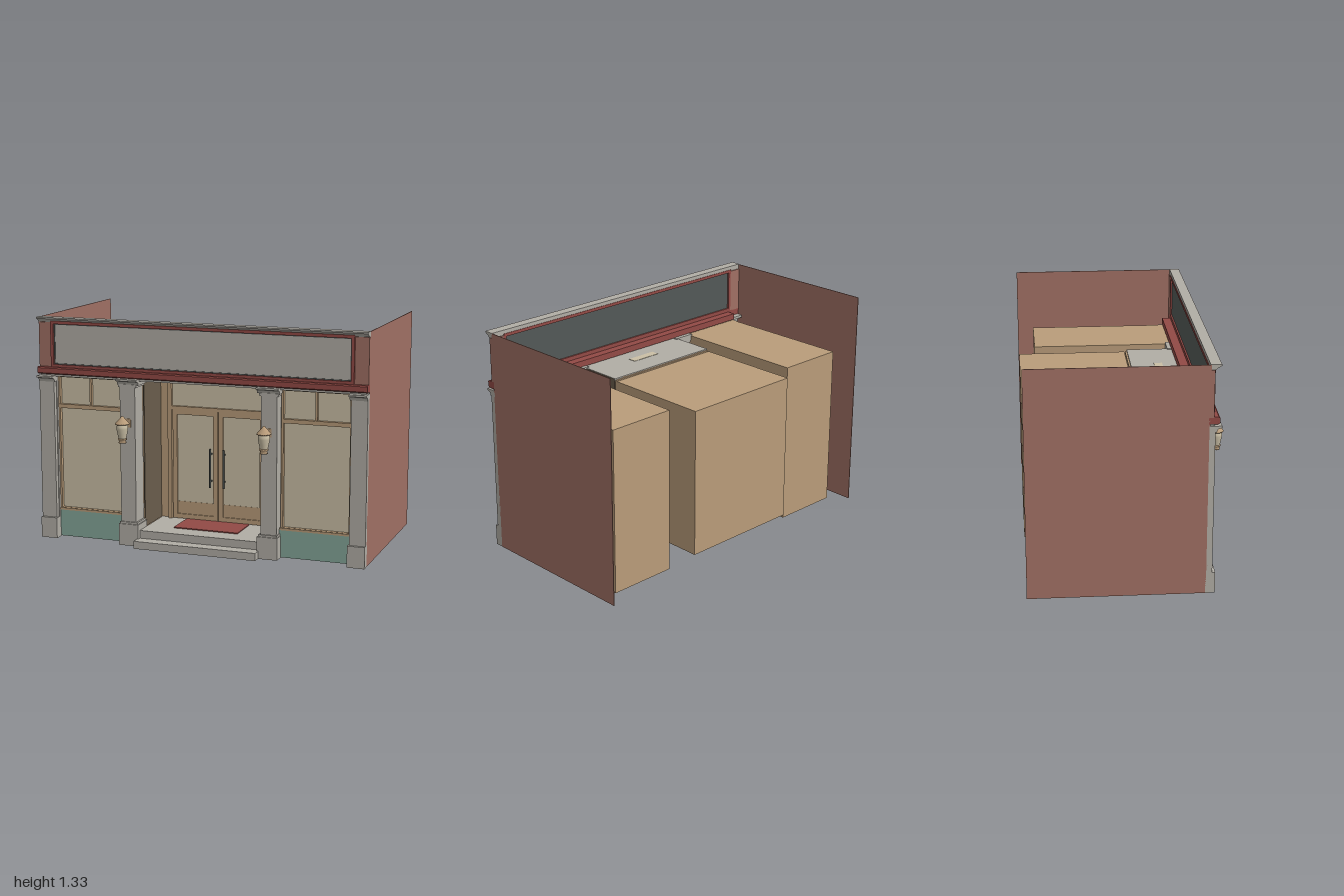
import * as THREE from 'three';

const mat = (name, color, side = THREE.FrontSide) => {
  const m = new THREE.MeshStandardMaterial({ color, side });
  m.name = name;
  return m;
};

export function createModel() {
  const brick = mat('brick', 0xa07064);
  const red = mat('red paint', 0x924a45);
  const stone = mat('stone', 0xb1ada5);
  const cream = mat('cream glass', 0xcabfa5);
  const wood = mat('wood', 0xb99c7a);
  const green = mat('green panel', 0x84a698);
  const dark = mat('dark metal', 0x535957);
  const shade = mat('dark wood', 0x6a5d4c);

  const model = new THREE.Group();
  model.name = 'shopfront';

  const add = (parent, name, geometry, material) => {
    const m = new THREE.Mesh(geometry, material);
    m.name = name;
    parent.add(m);
    return m;
  };
  // Box given by its limits on each axis
  const box = (parent, name, material, x0, x1, y0, y1, z0, z1) => {
    const m = add(parent, name, new THREE.BoxGeometry(Math.abs(x1 - x0), y1 - y0, z1 - z0), material);
    m.position.set((x0 + x1) / 2, (y0 + y1) / 2, (z0 + z1) / 2);
    return m;
  };
  // Moulding: a (z, y) profile drawn out along x
  const moulding = (parent, name, material, points, x0, x1) => {
    const shape = new THREE.Shape(points.map(([z, y]) => new THREE.Vector2(z, y)));
    const g = new THREE.ExtrudeGeometry(shape, { depth: x1 - x0, bevelEnabled: false });
    g.rotateY(-Math.PI / 2);
    g.translate(x1, 0, 0);
    return add(parent, name, g, material);
  };
  // Hollow rectangular frame
  const frame = (parent, name, material, x0, x1, y0, y1, z0, z1, t, b = t) => {
    const s = new THREE.Shape([[x0, y0], [x1, y0], [x1, y1], [x0, y1]].map(p => new THREE.Vector2(...p)));
    s.holes.push(new THREE.Path([[x0 + t, y0 + b], [x0 + t, y1 - b], [x1 - t, y1 - b], [x1 - t, y0 + b]]
      .map(p => new THREE.Vector2(...p))));
    const m = add(parent, name, new THREE.ExtrudeGeometry(s, { depth: z1 - z0, bevelEnabled: false }), material);
    m.position.z = z0;
    return m;
  };
  const capProfile = (y, back) => [[back, y], [0.455, y], [0.458, y + 0.012], [0.466, y + 0.021],
    [0.484, y + 0.025], [0.484, y + 0.036], [back, y + 0.036]];

  // Rooms behind the facade, with stone undersides
  const roomMats = [wood, wood, wood, stone, wood, wood];
  box(model, 'middleRoom', roomMats, -0.378, 0.378, 0.09, 0.975, -0.577, 0.07);

  // Everything that is mirrored left and right
  for (const s of [1, -1]) {
    const side = new THREE.Group();
    side.name = s > 0 ? 'leftSide' : 'rightSide';
    model.add(side);
    const b = (name, m, x0, x1, ...r) => s > 0
      ? box(side, name, m, x0, x1, ...r) : box(side, name, m, -x1, -x0, ...r);
    const span = (x0, x1) => s > 0 ? [x0, x1] : [-x1, -x0];

    b('sideWall', brick, 0.996, 1, 0, 1.33, -0.577, 0.42);
    b('sideRoom', roomMats, 0.485, 0.9, 0.002, 0.985, -0.48, 0.37);
    b('upperBrickPier', brick, 0.92, 1, 1.035, 1.3, 0.412, 0.44);

    // Corner pilaster
    b('cornerPilaster', stone, 0.905, 1, 0, 0.985, 0.415, 0.448);
    b('cornerReturn', stone, 0.9, 0.908, 0, 0.985, 0.335, 0.42);
    b('cornerPlinth', stone, 0.898, 1, 0, 0.125, 0.41, 0.465);
    moulding(side, 'cornerCapital', stone, capProfile(0.95, 0.415), ...span(0.898, 1));

    // Doorway pillar
    b('pillar', stone, 0.385, 0.48, 0, 0.96, 0.34, 0.455);
    b('pillarPlinth', stone, 0.367, 0.49, 0, 0.13, 0.335, 0.47);
    b('pillarPlinthTop', stone, 0.374, 0.485, 0.13, 0.142, 0.338, 0.463);
    b('pillarNeck', stone, 0.374, 0.488, 0.945, 0.962, 0.338, 0.46);
    moulding(side, 'pillarCapital', stone, capProfile(0.958, 0.335), ...span(0.362, 0.495));
    b('porchWall', shade, 0.373, 0.38, 0.09, 0.985, 0.09, 0.345);

    // Display window
    b('windowApron', green, 0.48, 0.905, 0.003, 0.168, 0.37, 0.405);
    b('windowGlass', cream, 0.48, 0.905, 0.17, 0.98, 0.371, 0.38);
    frame(side, 'windowFrame', wood, ...span(0.488, 0.902), 0.166, 0.985, 0.372, 0.402, 0.013);
    b('windowSill', wood, 0.485, 0.903, 0.165, 0.178, 0.372, 0.412);
    b('transomBar', wood, 0.495, 0.9, 0.786, 0.81, 0.375, 0.403);
    b('transomMullion', wood, 0.686, 0.698, 0.81, 0.98, 0.375, 0.4);

    // Door leaf
    frame(side, 'doorLeaf', wood, ...span(0.003, 0.29), 0.095, 0.763, 0.085, 0.108, 0.028);
    b('doorGlass', cream, 0.02, 0.28, 0.2, 0.75, 0.09, 0.098);
    b('doorKickPanel', wood, 0.02, 0.28, 0.11, 0.2, 0.09, 0.1);
    b('doorPost', wood, 0.295, 0.32, 0.09, 0.985, 0.085, 0.115);
    const handle = add(side, 'doorHandle', new THREE.CylinderGeometry(0.006, 0.006, 0.235, 12), dark);
    handle.position.set(s * 0.042, 0.423, 0.13);
    for (const y of [0.34, 0.505]) b('handleMount', dark, 0.038, 0.046, y, y + 0.008, 0.105, 0.13);

    // Wall lantern
    const lantern = new THREE.Group();
    lantern.name = 'lantern';
    lantern.position.set(s * 0.43, 0, 0.536);
    side.add(lantern);
    const lathe = (name, m, pts) => add(lantern, name,
      new THREE.LatheGeometry(pts.map(p => new THREE.Vector2(...p)), 24), m);
    lathe('lanternFoot', wood, [[0, 0.632], [0.022, 0.632], [0.022, 0.638], [0.018, 0.645],
      [0.026, 0.652], [0.026, 0.66], [0, 0.66]]);
    lathe('lanternGlass', cream, [[0.022, 0.658], [0.028, 0.685], [0.034, 0.715], [0.034, 0.728], [0.028, 0.745]]);
    lathe('lanternRoof', wood, [[0, 0.742], [0.041, 0.742], [0.041, 0.747], [0.013, 0.778], [0.008, 0.786], [0, 0.79]]);
    const arm = add(lantern, 'lanternArm', new THREE.CylinderGeometry(0.005, 0.005, 0.085, 10), wood);
    arm.rotation.x = Math.PI / 2;
    arm.position.set(0, 0.737, -0.042);
    box(lantern, 'lanternPlate', wood, -0.018, 0.018, 0.71, 0.76, -0.083, -0.077);
  }

  // Porch steps, mat, ceiling and lamp
  box(model, 'lowerStep', stone, -0.376, 0.376, 0, 0.045, 0.085, 0.52);
  box(model, 'porchFloor', stone, -0.368, 0.368, 0.045, 0.092, 0.085, 0.445);
  box(model, 'doorMat', red, -0.2, 0.2, 0.092, 0.098, 0.115, 0.325);
  box(model, 'porchCeiling', stone, -0.378, 0.378, 0.978, 0.988, 0.085, 0.37);
  box(model, 'ceilingLamp', cream, -0.095, 0.095, 0.962, 0.99, 0.225, 0.275);

  // Door wall, transom light and head
  box(model, 'doorWall', wood, -0.373, 0.373, 0.09, 0.98, 0.074, 0.09);
  box(model, 'doorTransomGlass', cream, -0.296, 0.296, 0.785, 0.975, 0.09, 0.097);
  box(model, 'doorTransomBar', wood, -0.3, 0.3, 0.763, 0.786, 0.085, 0.115);
  box(model, 'doorHead', wood, -0.3, 0.3, 0.97, 0.983, 0.085, 0.112);

  // Fascia: beam, red ledge, sign and cornice
  box(model, 'beam', stone, -0.99, 0.99, 0.982, 0.998, 0.375, 0.445);
  box(model, 'ledgeBack', red, -0.902, 0.902, 0.992, 1.03, 0.36, 0.42);
  moulding(model, 'ledge', red, [[0.412, 0.996], [0.46, 0.996], [0.472, 1.003], [0.472, 1.032],
    [0.465, 1.038], [0.412, 1.038]], -1, 1);
  frame(model, 'signFrame', red, -0.92, 0.92, 1.036, 1.31, 0.412, 0.453, 0.018);
  box(model, 'signPanel', stone, -0.905, 0.905, 1.05, 1.296, 0.428, 0.438);
  box(model, 'signBack', dark, -0.905, 0.905, 1.05, 1.296, 0.422, 0.428);
  frame(model, 'signBorder', dark, -0.903, 0.903, 1.052, 1.294, 0.438, 0.443, 0.007);
  moulding(model, 'cornice', stone, [[0.415, 1.302], [0.445, 1.302], [0.45, 1.31], [0.462, 1.316],
    [0.475, 1.324], [0.475, 1.332], [0.415, 1.332]], -1, 1);

  return model;
}
